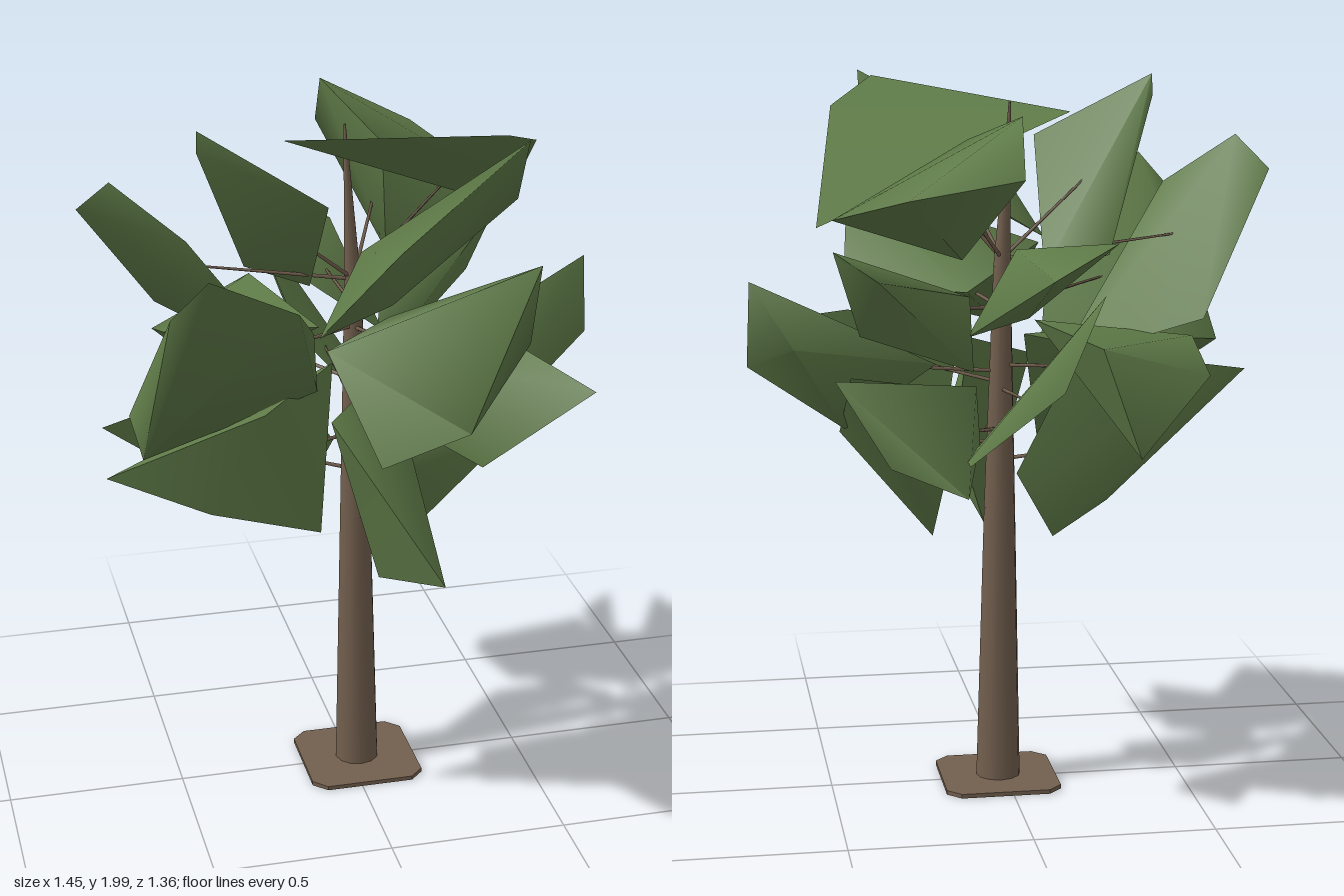
import * as THREE from 'three';
import { toCreasedNormals } from 'three/addons/utils/BufferGeometryUtils.js';
import { ConvexGeometry } from 'three/addons/geometries/ConvexGeometry.js';

const bark = new THREE.MeshStandardMaterial({ color: 0x725f4e });
bark.name = 'bark brown';
const leaf = new THREE.MeshStandardMaterial({ color: 0x5f7b48 });
leaf.name = 'leaf green';

const v = (p) => new THREE.Vector3(...p);

function add(parent, name, geometry, material) {
  const mesh = new THREE.Mesh(geometry, material);
  mesh.name = name;
  parent.add(mesh);
  return mesh;
}

// Tapered limb between two points
function limb(parent, name, from, to, r0, r1, sides) {
  const dir = to.clone().sub(from);
  const mesh = add(parent, name, new THREE.CylinderGeometry(r1, r0, dir.length(), sides), bark);
  mesh.position.copy(from).addScaledVector(dir, 0.5);
  mesh.quaternion.setFromUnitVectors(new THREE.Vector3(0, 1, 0), dir.normalize());
}

// Angular leaf clump stretched over a few corners, held by a thin branch
function clump(parent, name, ...corners) {
  const points = corners.map(v);
  const group = new THREE.Group();
  group.name = name;
  parent.add(group);
  add(group, 'leaves', toCreasedNormals(new ConvexGeometry(points), 1.5), leaf);
  const middle = points.reduce((s, p) => s.add(p), new THREE.Vector3()).divideScalar(points.length);
  const y = Math.min(middle.y - 0.05, 1.5);
  limb(group, 'branch', new THREE.Vector3(0.01, y, 0), middle, 0.006, 0.003, 5);
}

export function createModel() {
  const tree = new THREE.Group();
  tree.name = 'tree';

  // Square base plate with cut corners
  const h = 0.163, c = 0.125;
  const outline = [[h, c], [c, h], [-c, h], [-h, c], [-h, -c], [-c, -h], [c, -h], [h, -c]];
  const plate = add(tree, 'basePlate', new THREE.ExtrudeGeometry(
    new THREE.Shape(outline.map(([x, y]) => new THREE.Vector2(x, y))),
    { depth: 0.012, bevelEnabled: false }), bark);
  plate.rotation.x = -Math.PI / 2;
  plate.position.x = 0.023;

  // Tapering trunk in three lengths
  limb(tree, 'trunk', v([0.022, 0.002, -0.002]), v([0.017, 0.8, -0.002]), 0.063, 0.044, 12);
  limb(tree, 'upperTrunk', v([0.017, 0.8, -0.002]), v([0.01, 1.48, -0.005]), 0.044, 0.024, 12);
  limb(tree, 'trunkTip', v([0.01, 1.48, -0.005]), v([-0.01, 1.93, -0.015]), 0.024, 0.003, 12);

  const crown = new THREE.Group();
  crown.name = 'crown';
  tree.add(crown);

  // Top clumps
  clump(crown, 'topLeftClump', [-0.18, 1.9, 0], [0.54, 1.63, -0.27],
    [0.46, 1.91, 0.18], [0.33, 1.98, 0.35], [0.32, 1.74, 0.1]);
  clump(crown, 'topFrontClump', [0, 1.62, 0.13], [-0.18, 1.5, 0.42],
    [-0.02, 1.78, 0.62], [0.36, 1.99, 0.44], [0.36, 1.81, 0.35], [-0.02, 1.62, 0.54]);
  clump(crown, 'topRightClump', [-0.44, 1.99, 0.16], [-0.44, 1.93, 0.15],
    [-0.27, 1.52, -0.11], [-0.1, 1.47, -0.05], [-0.13, 1.81, 0.31]);
  clump(crown, 'topBackClump', [0.12, 1.84, -0.12], [0.03, 1.93, -0.48], [0.04, 1.78, -0.59],
    [0.34, 1.74, -0.65], [0.5, 1.65, -0.28], [0.14, 1.52, -0.15]);
  clump(crown, 'backWedgeClump', [-0.27, 1.57, -0.25], [-0.03, 1.53, -0.63],
    [0.12, 1.3, -0.1], [0.02, 1.57, -0.32], [0, 1.4, -0.4]);

  // Middle clumps
  clump(crown, 'frontClump', [0.1, 1.4, 0.05], [-0.17, 1.48, 0.46], [-0.07, 1.22, 0.64],
    [0.15, 1.31, 0.68], [0.42, 1.39, 0.31], [0.39, 1.67, 0.48]);
  clump(crown, 'frontRightClump', [-0.64, 1.23, 0.17], [-0.63, 1.17, 0.33], [-0.39, 1.25, 0.13],
    [-0.58, 1.62, 0.52], [-0.49, 1.73, 0.57], [-0.25, 1.6, 0.5], [-0.17, 1.47, 0.31],
    [-0.13, 1.25, 0.17]);
  clump(crown, 'farRightClump', [-0.73, 1.74, -0.04], [-0.65, 1.83, 0.03],
    [-0.47, 1.69, 0.14], [-0.49, 1.37, -0.3], [-0.14, 1.22, -0.06]);
  clump(crown, 'backLeftClump', [0.5, 1.57, -0.3], [0.41, 1.53, -0.58],
    [0.44, 1.36, -0.38], [0.1, 1.2, -0.08], [0.12, 1.42, -0.15]);
  clump(crown, 'backClump', [-0.15, 1.5, -0.68], [-0.06, 1.24, -0.61],
    [0.2, 0.95, -0.33], [0.13, 1, -0.23], [-0.08, 1.24, -0.25]);
  clump(crown, 'backRightClump', [-0.48, 1.31, -0.21], [-0.48, 1.24, -0.43],
    [-0.28, 1.04, -0.52], [-0.17, 1.34, -0.55], [-0.07, 1.34, -0.07]);
  clump(crown, 'farLeftClump', [0.71, 1.47, -0.12], [0.72, 1.24, -0.12],
    [0.6, 1.3, -0.22], [0.45, 1.04, -0.02], [0.3, 1.15, 0.03], [0.2, 1.22, -0.05]);

  // Lower clumps
  clump(crown, 'lowBackLeftClump', [0.5, 1.23, -0.31], [0.36, 1, -0.36],
    [0.17, 0.94, -0.48], [0.1, 1.03, -0.2], [0.1, 1.17, -0.13]);
  clump(crown, 'lowBackRightClump', [-0.7, 1.16, 0.07], [-0.28, 0.82, -0.05],
    [-0.1, 0.76, -0.2], [0, 0.94, -0.2], [-0.2, 1.25, -0.05]);
  clump(crown, 'lowRightClump', [-0.72, 1.1, 0.27], [-0.14, 0.87, 0.25],
    [-0.45, 0.98, 0.3], [-0.06, 1.28, 0.05], [-0.3, 1.25, 0.3]);
  clump(crown, 'lowFrontClump', [-0.11, 1.19, 0.25], [0.09, 1.27, 0.08],
    [0.13, 1, 0.08], [0.11, 0.85, 0.61], [0.03, 0.7, 0.22], [-0.03, 1.07, 0.35]);
  clump(crown, 'frontLeftClump', [0.57, 1.28, 0.42], [0.31, 1.02, 0.26],
    [0.12, 1.28, 0.08], [0.42, 1.34, 0.18], [0.14, 1.1, 0.12]);
  clump(crown, 'lowLeftClump', [0.21, 0.73, -0.03], [0.46, 1.02, 0.04],
    [0.13, 1.1, 0.09], [0.45, 1.22, -0.22], [0.12, 1.15, -0.08], [0.16, 0.95, 0.08]);

  return tree;
}
